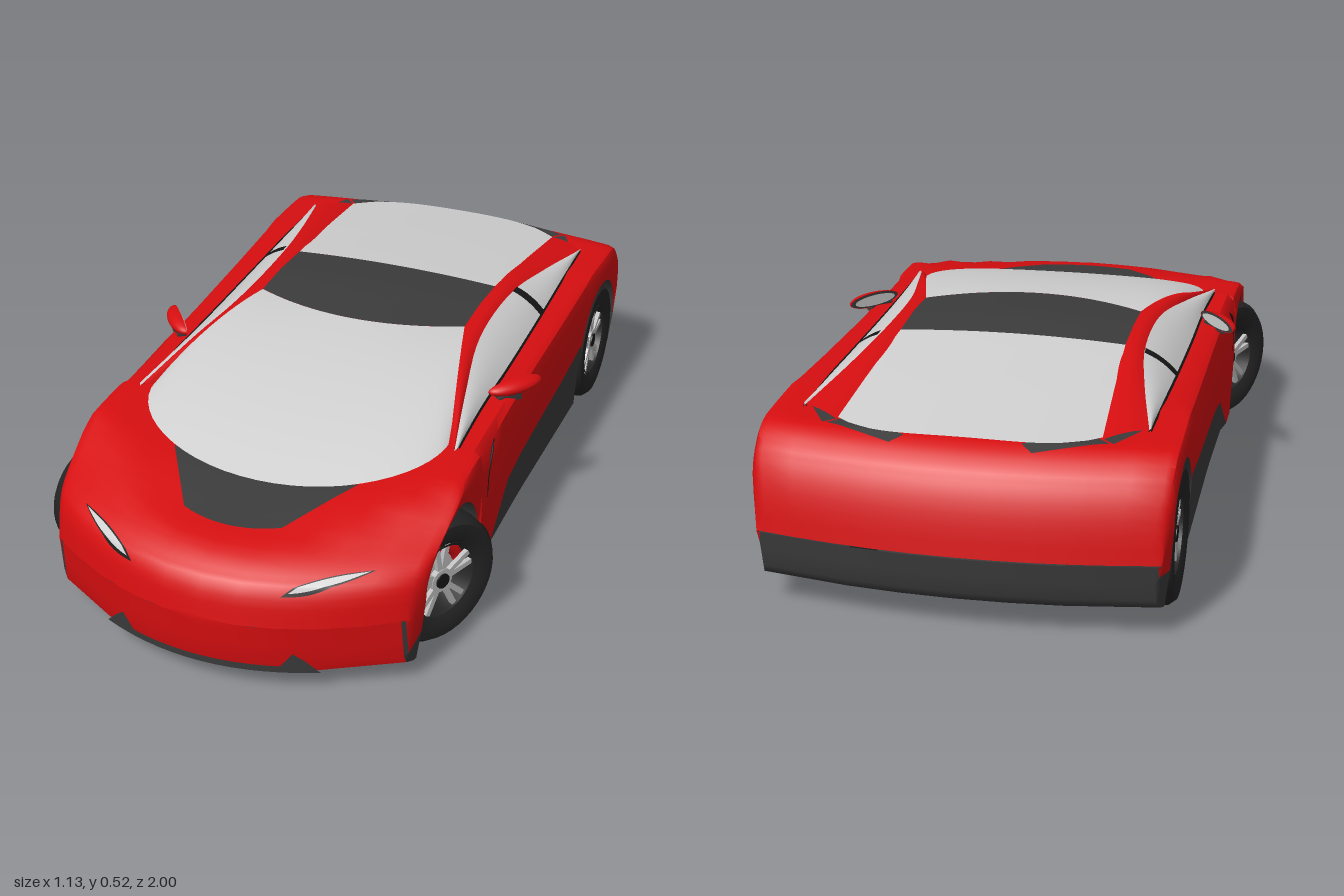
import * as THREE from 'three';
import { toCreasedNormals } from 'three/addons/utils/BufferGeometryUtils.js';

const mat = (name, color, side = THREE.DoubleSide) => {
  const m = new THREE.MeshStandardMaterial({ color, side });
  m.name = name;
  return m;
};

// Linear lookup in an ascending list of [key, value] pairs
function look(t, table) {
  if (t <= table[0][0]) return table[0][1];
  for (let i = 1; i < table.length; i++) {
    const [a, va] = table[i - 1], [b, vb] = table[i];
    if (t <= b) return va + (vb - va) * (t - a) / (b - a);
  }
  return table[table.length - 1][1];
}
const lerp = THREE.MathUtils.lerp, clamp = THREE.MathUtils.clamp, smooth = THREE.MathUtils.smoothstep;

// Body rules: plan width, deck heights, rounded nose and tail, wheel arches
const WIDTH = [[-0.948, 0.485], [-0.9, 0.505], [-0.8, 0.51], [-0.4, 0.505], [0, 0.5], [0.3, 0.503], [0.6, 0.505], [0.77, 0.49], [0.823, 0.47]];
const CENTRE = [[-1, 0.44], [-0.85, 0.443], [-0.6, 0.42], [0, 0.4], [0.4, 0.39], [0.66, 0.372], [0.8, 0.35], [0.86, 0.345], [1, 0.33]];
const SHOULDER = [[-1, 0.42], [-0.85, 0.438], [-0.6, 0.45], [-0.35, 0.44], [0, 0.43], [0.4, 0.425], [0.6, 0.412], [0.73, 0.39], [0.86, 0.35], [1, 0.33]];
const NOSE_TOP = [[0, 0.2], [0.012, 0.265], [0.03, 0.3], [0.07, 0.325], [0.14, 0.355], [0.2, 0.385], [0.3, 0.43], [0.4, 0.6]];
const TAIL_TOP = [[0, 0.2], [0.012, 0.28], [0.03, 0.345], [0.06, 0.395], [0.1, 0.427], [0.15, 0.445], [0.25, 0.55]];
const NOSE_LOW = [[0, 0.2], [0.01, 0.07], [0.03, 0.058]];
const TAIL_LOW = [[0, 0.2], [0.012, 0.1], [0.03, 0.08], [0.2, 0.055]];
const SKIRT = [[-0.95, 0.17], [-0.56, 0.17], [-0.53, 0.25], [-0.34, 0.23], [0.03, 0.205], [0.14, 0.19], [0.31, 0.06], [0.76, 0.06], [0.765, 0.14], [0.82, 0.09]];
const ROOF = [[-0.87, 0.449], [-0.6, 0.485], [-0.34, 0.515], [-0.18, 0.525], [0.03, 0.516], [0.25, 0.487]];
const AXLES = [-0.71, 0.58], ARCH = 0.185, HUB = 0.175;

const noseGap = (x, z) => 1 - 0.8 * x * x - z;
const tailGap = (x, z) => z + 1 - 0.22 * x * x;
const deckY = (x, z) => {
  const c = look(z, CENTRE), s = look(z, SHOULDER);
  const y = c + (s - c) * Math.min(1, (x / 0.45) ** 2);
  return Math.min(y, look(noseGap(x, z), NOSE_TOP), look(tailGap(x, z), TAIL_TOP));
};
const lowY = (x, z) => Math.max(look(noseGap(x, z), NOSE_LOW), look(tailGap(x, z), TAIL_LOW));
const roofY = (x, z) => look(z, ROOF) - 0.12 * x * x;

// Half cross-section from bottom centre, round the side, to top centre
function section(z) {
  const w = look(z, WIDTH);
  const kf = 0.8 * smooth(z, 0.5, 0.78), kr = 0.22 * (1 - smooth(z, -0.9, -0.65));
  const warp = x => z + (kf - kr) * (w * w - x * x);
  const top = deckY(0.95 * w, warp(0.95 * w));
  let sill = lowY(w, z);
  for (const c of AXLES) {
    const d = Math.abs(z - c);
    if (d < ARCH + 0.001) sill = HUB + Math.sqrt(Math.max(0, ARCH * ARCH - d * d));
  }
  sill = Math.min(sill, top);
  const skirt = clamp(look(z, SKIRT), sill, top);
  const low = x => [x, lowY(x, warp(x))], deck = f => [f * w, deckY(f * w, warp(f * w))];
  const pts = [low(0), low(0.13), low(0.26), [0.26, sill], [0.965 * w, sill], [0.985 * w, skirt],
    [w, lerp(skirt, top, 0.5)], [w, lerp(skirt, top, 0.8)], [0.985 * w, lerp(skirt, top, 0.95)],
    ...[0.95, 0.8, 0.6, 0.4, 0.2, 0].map(deck)];
  return pts.map(([x, y]) => [x, y, warp(x)]);
}

function bodyGeometries() {
  const stations = [0, 0.002, 0.006, 0.012, 0.02, 0.03, 0.045].flatMap(e => [-0.948 + e, 0.8233 - e]);
  for (const c of AXLES) {
    stations.push(c - ARCH - 0.002, c + ARCH + 0.002);
    for (let i = 0; i <= 20; i++) stations.push(c - ARCH * Math.cos(i * Math.PI / 20));
  }
  stations.push(-0.46, -0.4, -0.34, -0.25, -0.16, -0.06, 0.03, 0.085, 0.14, 0.2, 0.26, 0.31, 0.35);
  stations.sort((a, b) => a - b);
  const pos = [], paint = [], trim = [];
  let n = 0;
  stations.forEach((z, i) => {
    const half = section(z);
    const ring = [...half, ...half.slice(0, -1).reverse().map(([x, y, d]) => [-x, y, d])];
    n = ring.length;
    pos.push(...ring.flat());
    if (!i) return;
    const noseFace = z > 0.8233 - 0.0125;
    for (let j = 0; j < n - 1; j++) {
      const row = Math.min(j, n - 2 - j);
      const dark = row === 4 || (row < 4 && !noseFace);
      const a = (i - 1) * n + j, b = i * n + j;
      (dark ? trim : paint).push(a, a + 1, b, b, a + 1, b + 1);
    }
  });
  return [paint, trim].map(index => {
    const g = new THREE.BufferGeometry();
    g.setAttribute('position', new THREE.Float32BufferAttribute(pos, 3));
    g.setIndex(index);
    return toCreasedNormals(g, 0.7);
  });
}

// Surface patch from a rule f(u, v) -> [x, y, z]
function patch(f, nu = 12, nv = 8) {
  const pos = [], index = [];
  for (let i = 0; i <= nu; i++) for (let j = 0; j <= nv; j++) {
    pos.push(...f(i / nu, j / nv));
    const a = i * (nv + 1) + j;
    if (i < nu && j < nv) index.push(a, a + 1, a + nv + 1, a + nv + 1, a + 1, a + nv + 2);
  }
  const g = new THREE.BufferGeometry();
  g.setAttribute('position', new THREE.Float32BufferAttribute(pos, 3));
  g.setIndex(index);
  g.computeVertexNormals();
  return g;
}
// Four-cornered plate laid on the deck (x, z) or on the nose face (x, y)
const onDeck = (x, z) => [x, deckY(x, z) + 0.004, z];
const onNose = (x, y) => [x, y, 1 - 0.8 * x * x - 0.01 * Math.max(0, 0.2 - y) / 0.13 + 0.003];
const plate = (map, a, b, c, d) => patch((u, v) => map(
  lerp(lerp(a[0], b[0], u), lerp(d[0], c[0], u), v), lerp(lerp(a[1], b[1], u), lerp(d[1], c[1], u), v)));

export function createModel() {
  const car = new THREE.Group();
  car.name = 'sportsCar';
  const red = mat('red paint', 0xd60e10), trim = mat('dark trim', 0x3b3b3b), glass = mat('pale glass', 0xcfcfcf);
  const tyreMat = mat('tyre rubber', 0x242424), rimMat = mat('rim metal', 0xbdbdbd), black = mat('black gaps', 0x161616);
  const add = (name, geo, material, parent = car) => {
    const m = new THREE.Mesh(geo, material);
    m.name = name;
    parent.add(m);
    return m;
  };

  // Body shell with arches, floor and skirts
  const [paintGeo, trimGeo] = bodyGeometries();
  add('bodyShell', paintGeo, red);
  add('underbodyAndSkirts', trimGeo, trim);

  // Windscreen, roof and rear window
  add('windscreen', patch((u, v) => {
    const s = 2 * u - 1, a = s * Math.PI / 2;
    const x0 = 0.295 * s, z0 = 0.02 - 0.08 * s * s;
    const x1 = 0.41 * Math.sin(a), z1 = 0.38 + 0.27 * Math.cos(a);
    return [lerp(x0, x1, v), lerp(roofY(x0, z0), deckY(x1, z1) + 0.005, v) + 0.096 * v * (1 - v), lerp(z0, z1, v)];
  }, 28, 12), glass);
  add('roofPanel', patch((u, v) => {
    const s = 2 * u - 1, x = 0.295 * s, z = lerp(-0.32, 0.02 - 0.08 * s * s, v);
    return [x, roofY(x, z), z];
  }), trim);
  add('rearWindow', patch((u, v) => {
    const s = 2 * u - 1, x = lerp(0.295, 0.32, v) * s, z = lerp(-0.32, -0.87 + 0.07 * s ** 4, v);
    return [x, Math.max(roofY(x, z), deckY(x, z) + 0.005), z];
  }, 20, 12), glass);

  // Bonnet panel and chin
  add('bonnetPanel', patch((u, v) => {
    const s = 2 * u - 1;
    return onDeck(lerp(0.25, 0.13, v) * s, lerp(0.64 - 0.045 * s * s, 0.82 - 0.03 * s * s, v));
  }), trim);
  add('chinStrip', plate(onNose, [-0.24, 0.066], [0.24, 0.066], [0.24, 0.085], [-0.24, 0.085]), trim);

  // Parts on one side, mirrored for the other
  const curve = pts => new THREE.CatmullRomCurve3(pts.map(p => new THREE.Vector3(...p)));
  const inner = curve([[0.405, 0.418, 0.39], [0.345, 0.485, 0.16], [0.287, 0.502, -0.06], [0.287, 0.502, -0.32], [0.3, 0.476, -0.56], [0.312, 0.44, -0.81]]);
  const outer = curve([[0.435, 0.428, 0.42], [0.388, 0.465, 0.2], [0.345, 0.495, -0.04], [0.345, 0.497, -0.32], [0.375, 0.476, -0.52], [0.42, 0.448, -0.74]]);
  const belt = curve([[0.438, 0.424, 0.4], [0.432, 0.429, 0.2], [0.432, 0.43, -0.04], [0.43, 0.436, -0.32], [0.427, 0.442, -0.52], [0.422, 0.444, -0.74]]);
  const ruled = (a, b, t0, t1, bulge, lift = 0) => patch((u, v) => {
    const t = lerp(t0, t1, u), p = a.getPoint(t).lerp(b.getPoint(t), v), h = bulge * 4 * v * (1 - v) + lift;
    return [p.x + h * 0.5, p.y + h, p.z];
  }, 30, 6);
  for (const side of [1, -1]) {
    const half = new THREE.Group();
    half.name = side > 0 ? 'leftSide' : 'rightSide';
    half.scale.x = side;
    car.add(half);
    add('roofRail', ruled(inner, outer, 0, 1, 0.008), red, half);
    add('sideWindow', ruled(outer, belt, 0, 1, 0.006), glass, half);
    add('doorPillar', ruled(outer, belt, 0.6, 0.63, 0.006, 0.004), black, half);
    add('beltSeal', new THREE.TubeGeometry(belt, 30, 0.004, 5), black, half);

    // Rear deck vents
    add('rearVent', plate(onDeck, [0.14, -0.865], [0.31, -0.8], [0.34, -0.83], [0.17, -0.892]), trim, half);
    add('quarterVent', plate(onDeck, [0.32, -0.8], [0.415, -0.67], [0.425, -0.7], [0.35, -0.83]), trim, half);

    // Slit headlight in a dark surround
    const slit = (x0, x1, h, lift) => patch((u, v) => {
      const x = lerp(x0, x1, u), e = lerp(0.02, 0.06, (x - 0.2) / 0.18) + h * Math.sin(Math.PI * u) * (2 * v - 1);
      const z = 1 - 0.8 * x * x - e;
      return [x, deckY(x, z) + lift, z + lift * 0.7];
    }, 16, 4);
    add('headlightSurround', slit(0.195, 0.385, 0.013, 0.002), black, half);
    add('headlight', slit(0.21, 0.375, 0.009, 0.004), glass, half);
    add('chinFin', plate(onNose, [0.18, 0.066], [0.285, 0.066], [0.25, 0.105], [0.225, 0.125]), trim, half);

    // Door shut line
    add('doorLine', new THREE.TubeGeometry(curve([[0.478, 0.418, 0.24], [0.5, 0.39, 0.31], [0.502, 0.32, 0.345], [0.498, 0.2, 0.335], [0.49, 0.08, 0.31]]), 20, 0.003, 5), black, half);

    // Door mirror
    const mirror = new THREE.Group();
    mirror.name = 'doorMirror';
    mirror.position.set(0.482, 0.446, 0.08);
    mirror.rotation.y = 0.9;
    half.add(mirror);
    const shell = new THREE.SphereGeometry(1, 20, 8, 0, Math.PI * 2, 0, Math.PI / 2).rotateX(Math.PI / 2).scale(0.082, 0.021, 0.035);
    add('mirrorShell', shell, red, mirror);
    add('mirrorBack', new THREE.CircleGeometry(1, 20).rotateY(Math.PI).scale(0.08, 0.02, 1), trim, mirror);
    add('mirrorGlass', new THREE.CircleGeometry(1, 20).rotateY(Math.PI).scale(0.068, 0.015, 1).translate(0, 0, -0.003), glass, mirror);
    add('mirrorStalk', new THREE.BoxGeometry(0.07, 0.02, 0.025).translate(-0.025, -0.024, 0.01), trim, mirror);
  }

  // Wheels: the front pair is steered
  const lathe = pts => toCreasedNormals(new THREE.LatheGeometry(pts.map(p => new THREE.Vector2(...p)), 40).rotateZ(-Math.PI / 2), 0.7);
  const tyre = lathe([[0.108, -0.07], [0.13, -0.08], [0.158, -0.078], [0.171, -0.062], [0.175, -0.03], [0.175, 0.03], [0.171, 0.062], [0.158, 0.078], [0.13, 0.08], [0.108, 0.07]]);
  const barrel = lathe([[0.109, 0.074], [0.1, 0.07], [0.097, 0.03], [0.095, -0.07]]);
  const disc = (r, depth, x) => new THREE.CylinderGeometry(r, r, depth, 32).rotateZ(-Math.PI / 2).translate(x, 0, 0);
  const spoke = new THREE.BoxGeometry(0.012, 0.085, 0.014).translate(0.058, 0.06, 0);
  AXLES.forEach((z, k) => {
    for (const side of [1, -1]) {
      const wheel = new THREE.Group();
      wheel.name = (k ? 'front' : 'rear') + (side > 0 ? 'LeftWheel' : 'RightWheel');
      wheel.position.set(0.42 * side, HUB, z);
      wheel.rotation.y = (k ? -0.5 : 0) + (side < 0 ? Math.PI : 0);
      car.add(wheel);
      add('tyre', tyre, tyreMat, wheel);
      add('rimBarrel', barrel, tyreMat, wheel);
      add('wheelBack', disc(0.1, 0.01, -0.05), tyreMat, wheel);
      add('brakeDisc', disc(0.078, 0.01, 0.02), rimMat, wheel);
      for (let i = 0; i < 5; i++) for (const t of [-0.17, 0.17]) add('spoke', spoke, rimMat, wheel).rotation.x = i * Math.PI * 0.4 + t;
      add('hub', disc(0.032, 0.016, 0.058), rimMat, wheel);
      add('hubCap', disc(0.02, 0.008, 0.066), black, wheel);
      const mid = k ? (side > 0 ? 0.25 : 0.75) * Math.PI : -Math.PI / 2;
      add('brakeCaliper', new THREE.TorusGeometry(0.08, 0.016, 8, 14, 1).rotateZ(mid - 0.5).rotateY(Math.PI / 2).translate(0.034, 0, 0), red, wheel);
    }
    add('axle', new THREE.CylinderGeometry(0.03, 0.03, 0.74, 16).rotateZ(Math.PI / 2).translate(0, HUB, z), trim);
  });
  return car;
}
